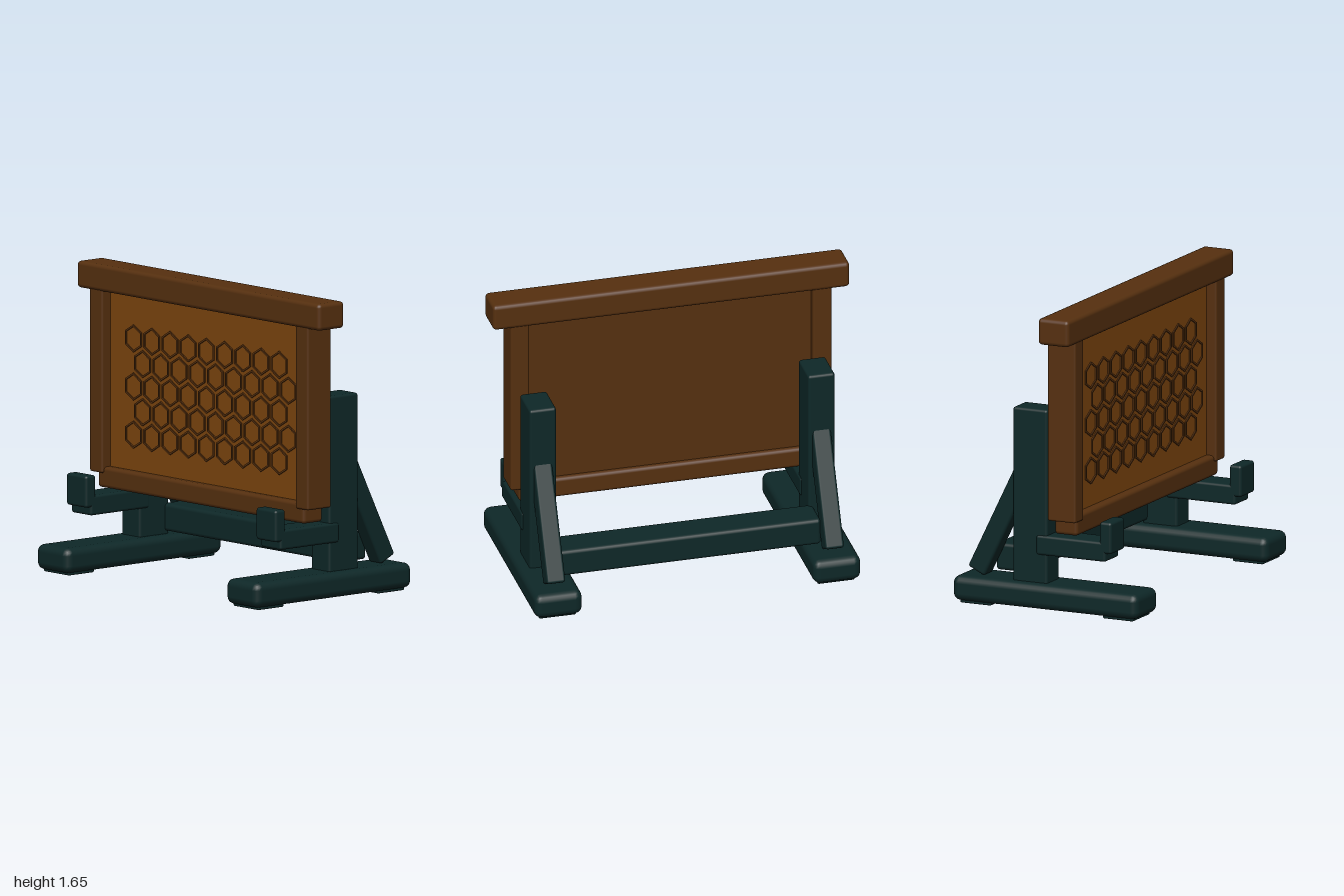
import * as THREE from 'three';
import { RoundedBoxGeometry } from 'three/addons/geometries/RoundedBoxGeometry.js';

const material = (name, color) => {
  const m = new THREE.MeshStandardMaterial({ color });
  m.name = name;
  return m;
};

// Rounded block given by its extents along each axis
function block(name, mat, [x0, x1], [y0, y1], [z0, z1], radius = 0.015) {
  const geo = new RoundedBoxGeometry(x1 - x0, y1 - y0, z1 - z0, 2, radius);
  const mesh = new THREE.Mesh(geo, mat);
  mesh.name = name;
  mesh.position.set((x0 + x1) / 2, (y0 + y1) / 2, (z0 + z1) / 2);
  return mesh;
}

// Pointy-topped hexagon outline
function hexagon(radius, PathType) {
  const points = [];
  for (let i = 0; i < 6; i++) {
    const a = Math.PI / 6 + i * Math.PI / 3;
    points.push(new THREE.Vector2(Math.cos(a) * radius, Math.sin(a) * radius));
  }
  return new PathType(points);
}

export function createModel() {
  const model = new THREE.Group();
  model.name = 'framedBoardOnStand';
  const frameWood = material('dark brown wood', 0x56300f);
  const panelWood = material('amber wood', 0x7c450e);
  const standPaint = material('dark teal', 0x0e2828);

  // Board: frame, backing and front panel
  const board = new THREE.Group();
  board.name = 'board';
  board.add(
    block('topRail', frameWood, [-1, 1], [1.508, 1.655], [0.005, 0.191], 0.022),
    block('bottomRail', frameWood, [-0.85, 0.85], [0.43, 0.545], [0.03, 0.17], 0.02),
    block('backBoard', frameWood, [-0.82, 0.82], [0.5, 1.54], [0.06, 0.11], 0.005),
    block('frontPanel', panelWood, [-0.81, 0.81], [0.52, 1.53], [0.1, 0.125], 0.005)
  );
  for (const side of [-1, 1]) {
    const rail = block('sideRail', frameWood, [0.795, 0.9], [0.512, 1.53], [0.014, 0.184], 0.012);
    rail.position.x *= side;
    board.add(rail);
  }

  // Honeycomb: thin hexagonal rims in staggered rows
  const rim = hexagon(0.076, THREE.Shape);
  rim.holes.push(hexagon(0.065, THREE.Path));
  const rimGeo = new THREE.ExtrudeGeometry(rim, { depth: 0.008, bevelEnabled: false });
  const honeycomb = new THREE.Group();
  honeycomb.name = 'honeycomb';
  for (let row = 0; row < 5; row++) {
    for (let col = 0; col < 9; col++) {
      const cell = new THREE.Mesh(rimGeo, frameWood);
      cell.name = 'cellRim';
      cell.position.set(-0.6 + col * 0.15 + (row % 2) * 0.075, 1.27 - row * 0.132, 0.124);
      honeycomb.add(cell);
    }
  }
  board.add(honeycomb);
  model.add(board);

  // Stand: two mirrored trestles
  const stand = new THREE.Group();
  stand.name = 'stand';
  for (const side of [-1, 1]) {
    const trestle = new THREE.Group();
    trestle.name = side > 0 ? 'leftTrestle' : 'rightTrestle';
    const brace = block('brace', standPaint, [-0.052, 0.052], [-0.36, 0.36], [-0.055, 0.055]);
    brace.position.set(0, 0.495, -0.296);
    brace.rotation.x = 0.456;
    trestle.add(
      block('foot', standPaint, [-0.134, 0.134], [0.013, 0.152], [-0.561, 0.563], 0.042),
      block('frontPad', standPaint, [-0.104, 0.104], [0, 0.05], [0.342, 0.526], 0.008),
      block('backPad', standPaint, [-0.104, 0.104], [0, 0.05], [-0.524, -0.336], 0.008),
      block('post', standPaint, [-0.075, 0.075], [0.13, 1.113], [-0.219, -0.009]),
      block('supportArm', standPaint, [-0.083, 0.083], [0.307, 0.417], [-0.075, 0.348]),
      block('frontLip', standPaint, [-0.083, 0.083], [0.353, 0.528], [0.311, 0.383]),
      brace
    );
    trestle.position.x = 0.781 * side;
    stand.add(trestle);
  }

  // Beam joining the two trestles
  stand.add(block('crossBeam', standPaint, [-0.735, 0.735], [0.167, 0.318], [-0.383, -0.19], 0.02));
  model.add(stand);
  return model;
}
